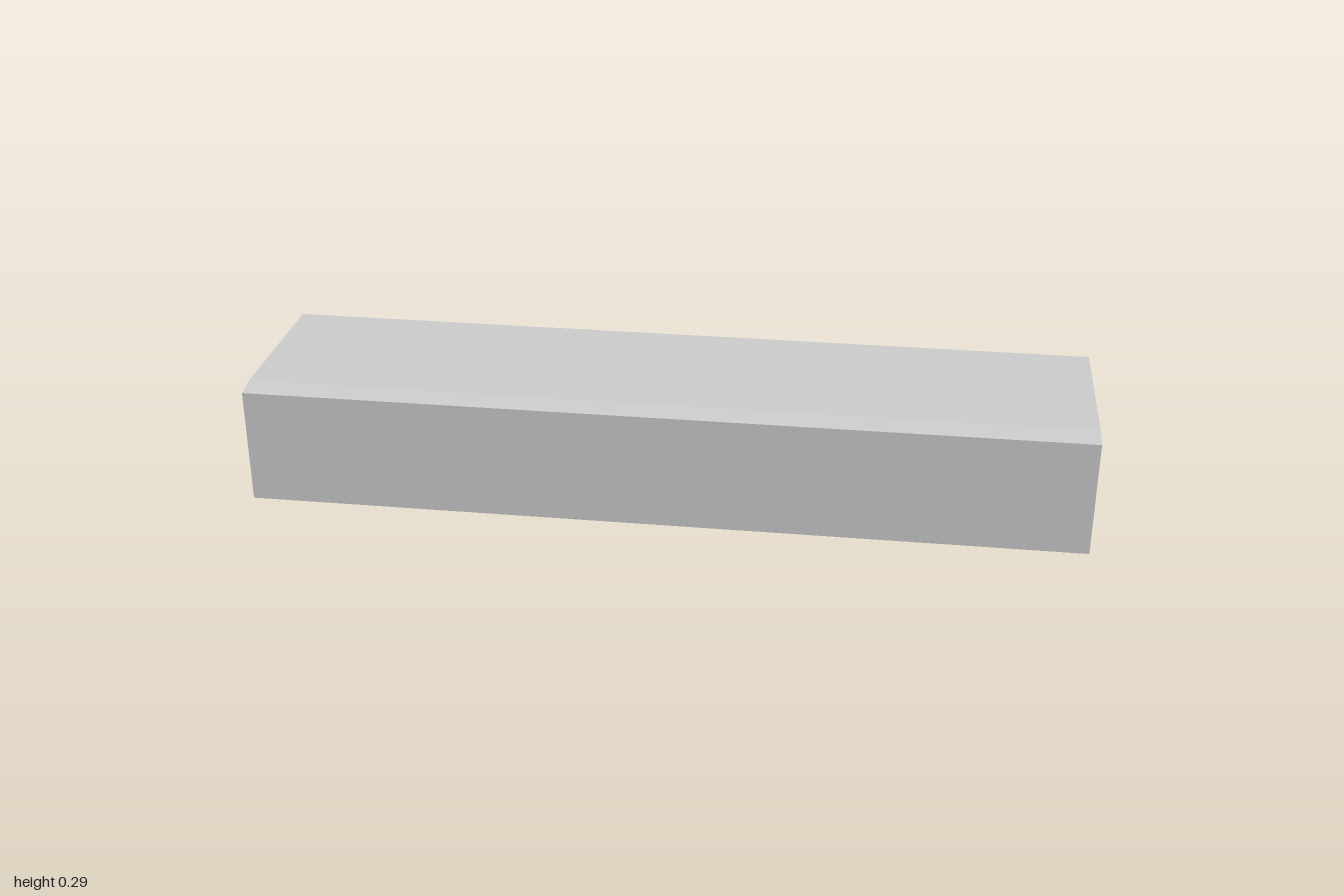
import * as THREE from 'three';

// Bent sheet-metal channel: one folded profile drawn out along x.
export function createModel() {
  const group = new THREE.Group();
  group.name = 'foldedChannel';

  // Profile in (-z, y): outer skin first, then back along the inner skin
  const profile = new THREE.Shape();
  profile.moveTo(0.046, 0.053);
  profile.lineTo(0.046, 0.060); // lower lip end
  profile.lineTo(-0.223, 0.0105); // inner bottom fold
  profile.lineTo(-0.223, 0.277); // inner top fold
  profile.lineTo(-0.19, 0.2835);
  profile.quadraticCurveTo(-0.181, 0.285, -0.172, 0.285);
  profile.lineTo(0.231, 0.285); // top flange end
  profile.lineTo(0.231, 0.2925);
  profile.lineTo(-0.172, 0.2925);
  profile.quadraticCurveTo(-0.181, 0.2925, -0.19, 0.2905);
  profile.lineTo(-0.231, 0.283); // outer top fold
  profile.lineTo(-0.231, 0.001); // outer bottom fold
  profile.lineTo(-0.226, 0.001);
  profile.closePath();

  const geometry = new THREE.ExtrudeGeometry(profile, {
    depth: 2, bevelEnabled: false, curveSegments: 4,
  });
  geometry.translate(0, 0, -1);
  geometry.rotateY(Math.PI / 2);

  const channel = new THREE.Mesh(
    geometry,
    new THREE.MeshStandardMaterial({ color: 0xcccccc, flatShading: true }),
  );
  channel.name = 'channelSheet';
  group.add(channel);
  return group;
}
